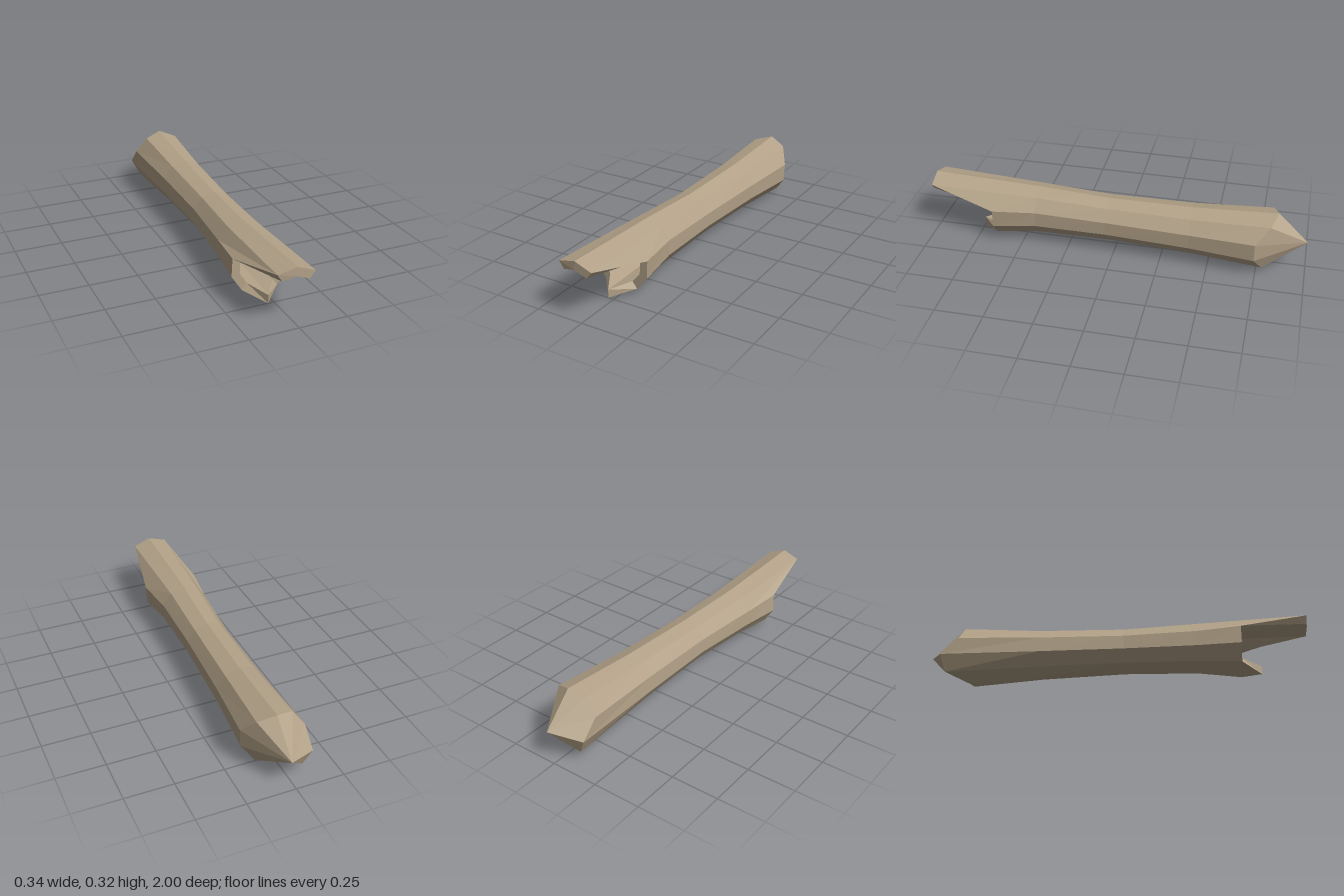
import * as THREE from 'three';

const SIDES = 10;

// Regular ring of points at depth z, counter-clockwise seen from the front
function ring(cx, cy, z, radius, startDeg) {
  return Array.from({ length: SIDES }, (_, k) => {
    const a = THREE.MathUtils.degToRad(startDeg + (k * 360) / SIDES);
    return [cx + radius * Math.cos(a), cy + radius * Math.sin(a), z];
  });
}

// Ring collapsed to one point, used to close an end
const point = (x, y, z) => Array.from({ length: SIDES }, () => [x, y, z]);

// Skin a series of rings with flat facets
function loft(name, rings, material) {
  const pos = [];
  const same = (p, q) => p.every((v, i) => v === q[i]);
  const tri = (a, b, c) => {
    if (!same(a, b) && !same(b, c) && !same(c, a)) pos.push(...a, ...b, ...c);
  };
  for (let r = 0; r < rings.length - 1; r++) {
    const a = rings[r], b = rings[r + 1];
    for (let k = 0; k < SIDES; k++) {
      const n = (k + 1) % SIDES;
      tri(a[k], b[k], b[n]);
      tri(a[k], b[n], a[n]);
    }
  }
  const geo = new THREE.BufferGeometry();
  geo.setAttribute('position', new THREE.Float32BufferAttribute(pos, 3));
  geo.computeVertexNormals();
  const mesh = new THREE.Mesh(geo, material);
  mesh.name = name;
  return mesh;
}

export function createModel() {
  const wood = new THREE.MeshStandardMaterial({ color: 0xb3a288 });
  wood.name = 'weathered wood';

  // Jagged open mouth: long splinter on top, short one underneath
  const mouthOuter = [
    [-0.02, 0.315, 1], [-0.115, 0.29, 0.99], [-0.168, 0.215, 0.645], [-0.172, 0.12, 0.645],
    [-0.118, 0.038, 0.645], [-0.03, 0.002, 0.75], [0.067, 0.03, 0.65], [0.125, 0.1, 0.65],
    [0.13, 0.195, 0.65], [0.07, 0.28, 1],
  ];
  const mouthInner = [
    [-0.025, 0.27], [-0.09, 0.253], [-0.128, 0.2], [-0.13, 0.13], [-0.092, 0.07],
    [-0.03, 0.046], [0.042, 0.065], [0.085, 0.115], [0.088, 0.187], [0.042, 0.245],
  ].map(([x, y], k) => [x, y, mouthOuter[k][2]]);

  // Uneven rear edge, leading to a broken point
  const backEdge = [
    [0.032, 0.325, -0.84], [-0.06, 0.3, -0.81], [-0.12, 0.22, -0.83], [-0.12, 0.13, -0.92],
    [-0.08, 0.045, -0.9], [0.013, 0.01, -0.78], [0.107, 0.035, -0.78], [0.165, 0.11, -0.74],
    [0.17, 0.207, -0.74], [0.12, 0.29, -0.81],
  ];

  const group = new THREE.Group();
  group.name = 'hollowLog';
  group.add(
    // Blind hollow inside the trunk
    loft('hollow', [point(-0.01, 0.16, 0.08), ring(-0.01, 0.161, 0.08, 0.094, 88), mouthInner], wood),
    loft('splinteredRim', [mouthInner, mouthOuter], wood),
    // Waisted trunk, twisting slightly along its length
    loft('trunk', [
      mouthOuter,
      ring(-0.018, 0.163, 0.42, 0.132, 89),
      ring(0, 0.165, 0.04, 0.12, 88),
      ring(0.012, 0.165, -0.4, 0.131, 87),
      backEdge,
    ], wood),
    loft('brokenEnd', [backEdge, point(0.03, 0.17, -1)], wood),
  );
  return group;
}
